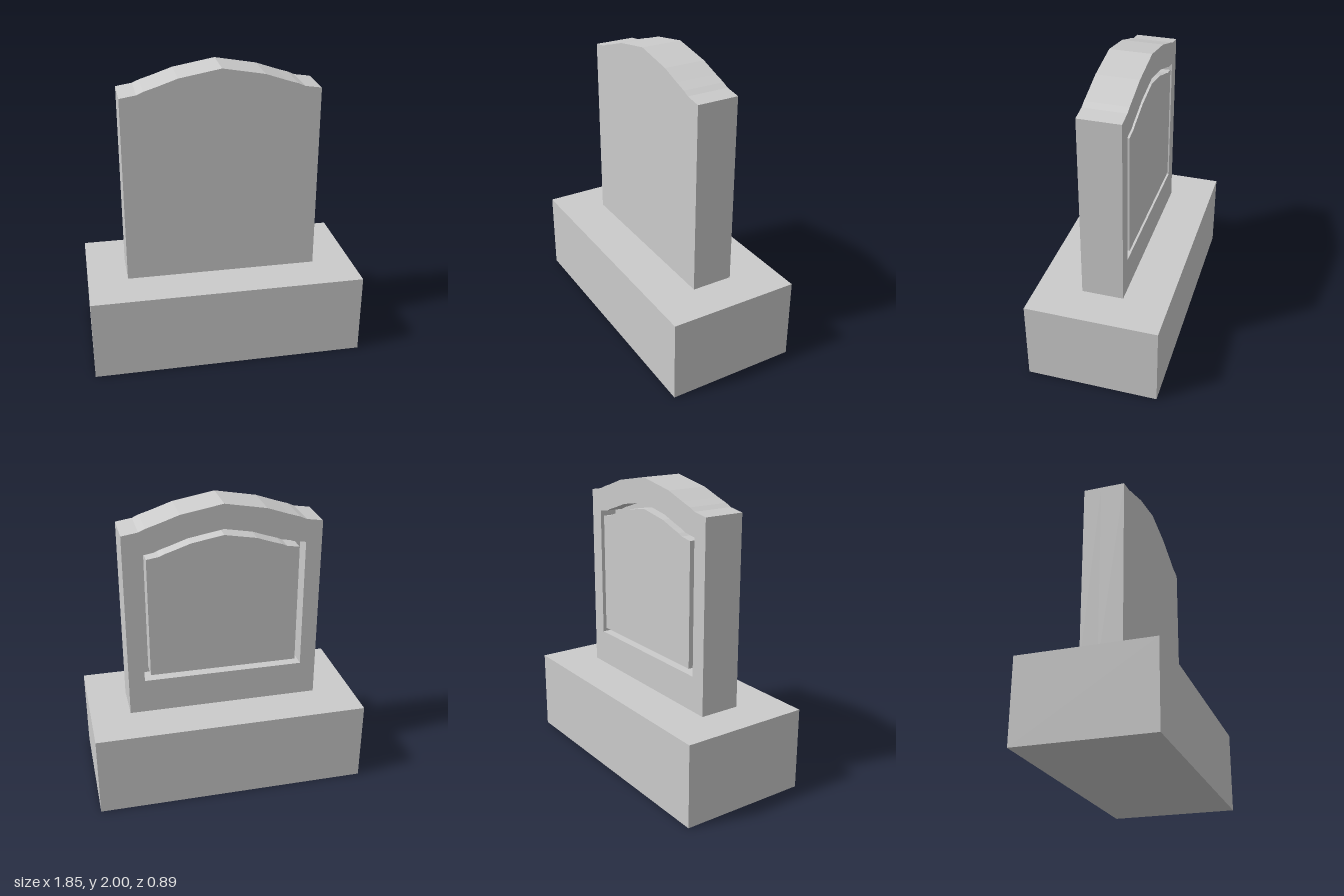
import * as THREE from 'three';

// Half of the crown: distance from the centre line, drop below the peak
const CROWN = [[0.655, 0.16], [0.545, 0.143], [0.5, 0.123], [0.42, 0.098], [0.28, 0.05]];
const BASE_TOP = 0.56;
const HALF_DEPTH = 0.14;
const GROOVE_DEPTH = 0.12;

// Arched outline with a flat foot, scaled from the crown
function outline(PathType, scale, bottom, peak) {
  const right = CROWN.map(([x, drop]) => [x * scale, peak - drop * scale]);
  const left = right.map(([x, y]) => [-x, y]).reverse();
  const half = CROWN[0][0] * scale;
  const points = [[-half, bottom], [half, bottom], ...right, [0, peak], ...left];
  return new PathType(points.map(([x, y]) => new THREE.Vector2(x, y)));
}

export function createModel() {
  const model = new THREE.Group();
  model.name = 'gravestone';
  const stone = new THREE.MeshStandardMaterial({ color: 0xcccccc, flatShading: true });

  function add(name, geometry, parent = model) {
    const mesh = new THREE.Mesh(geometry, stone);
    mesh.name = name;
    parent.add(mesh);
    return mesh;
  }
  const slab = (shape, z0, z1) =>
    new THREE.ExtrudeGeometry(shape, { depth: z1 - z0, bevelEnabled: false }).translate(0, 0, z0);

  // Plinth
  add('plinth', new THREE.BoxGeometry(1.85, BASE_TOP, 0.89).translate(0, BASE_TOP / 2, 0));

  // Upright stone: solid front, framed back with a groove around a flush panel
  const headstone = new THREE.Group();
  headstone.name = 'headstone';
  model.add(headstone);

  const grooveFloor = -HALF_DEPTH + GROOVE_DEPTH;
  add('stoneBody', slab(outline(THREE.Shape, 1, BASE_TOP, 2), grooveFloor, HALF_DEPTH), headstone);

  const frame = outline(THREE.Shape, 1, BASE_TOP, 2);
  frame.holes.push(outline(THREE.Path, 0.835, 0.8, 1.835));
  add('backFrame', slab(frame, -HALF_DEPTH, grooveFloor), headstone);

  add('backPanel', slab(outline(THREE.Shape, 0.77, 0.84, 1.795), -HALF_DEPTH, grooveFloor), headstone);

  return model;
}
